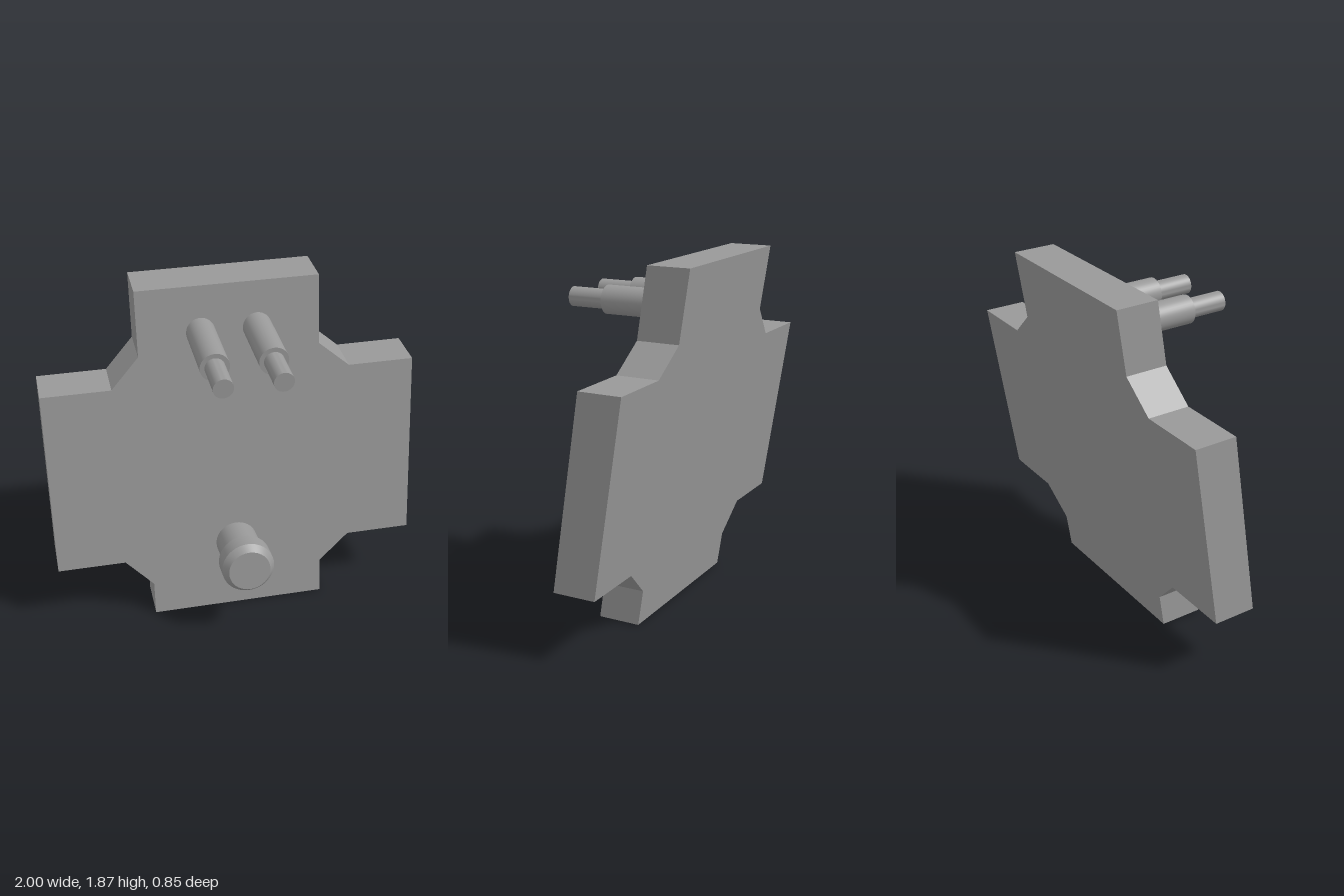
import * as THREE from 'three';
import { toCreasedNormals } from 'three/addons/utils/BufferGeometryUtils.js';

const SLOPE = -0.153; // lean of the plate: change of z per unit of height
const FRONT = 0.093; // z of the plate's front face at the ground
const THICKNESS = 0.229;

const material = new THREE.MeshStandardMaterial({ color: 0x999999 });

// Turned part: profile of [radius, distance] pairs, axis along +z
function turned(name, profile) {
  const points = profile.map(([r, d]) => new THREE.Vector2(r, d));
  const geometry = new THREE.LatheGeometry(points, 40).rotateX(Math.PI / 2);
  const mesh = new THREE.Mesh(toCreasedNormals(geometry, 0.5), material);
  mesh.name = name;
  return mesh;
}

// Cross-shaped plate with chamfered inner corners, sheared backwards
function createPlate() {
  const outline = [
    [-0.48, 0], [0.48, 0], [0.48, 0.195], [0.645, 0.346], [1, 0.346], [1, 1.363],
    [0.645, 1.363], [0.48, 1.503], [0.48, 1.873], [-0.48, 1.873], [-0.48, 1.527],
    [-0.63, 1.363], [-1, 1.363], [-1, 0.346], [-0.63, 0.346], [-0.48, 0.187],
  ];
  const shape = new THREE.Shape(outline.map(([x, y]) => new THREE.Vector2(x, y)));
  const geometry = new THREE.ExtrudeGeometry(shape, { depth: THICKNESS, bevelEnabled: false });
  geometry.translate(0, 0, FRONT - THICKNESS);
  const shear = new THREE.Matrix4().set(1, 0, 0, 0, 0, 1, 0, 0, 0, SLOPE, 1, 0, 0, 0, 0, 1);
  geometry.applyMatrix4(shear);
  geometry.computeVertexNormals();
  const mesh = new THREE.Mesh(geometry, material);
  mesh.name = 'plate';
  return mesh;
}

export function createModel() {
  const group = new THREE.Group();
  group.name = 'plateWithPins';
  group.add(createPlate());

  // Two stepped horizontal pins near the top
  for (const [name, side] of [['leftPin', 1], ['rightPin', -1]]) {
    const pin = turned(name, [[0, -0.18], [0.076, -0.18], [0.076, 0.217], [0.052, 0.217], [0.052, 0.425], [0, 0.425]]);
    pin.position.set(side * 0.149, 1.628, 0);
    group.add(pin);
  }

  // Chamfered knob standing square to the plate
  const knob = turned('knob', [
    [0, -0.04], [0.115, -0.04], [0.115, 0.212], [0.143, 0.212], [0.143, 0.305], [0.113, 0.345], [0, 0.345],
  ]);
  knob.position.set(0, 0.392, 0.03);
  knob.rotation.x = Math.atan(SLOPE);
  group.add(knob);

  return group;
}
